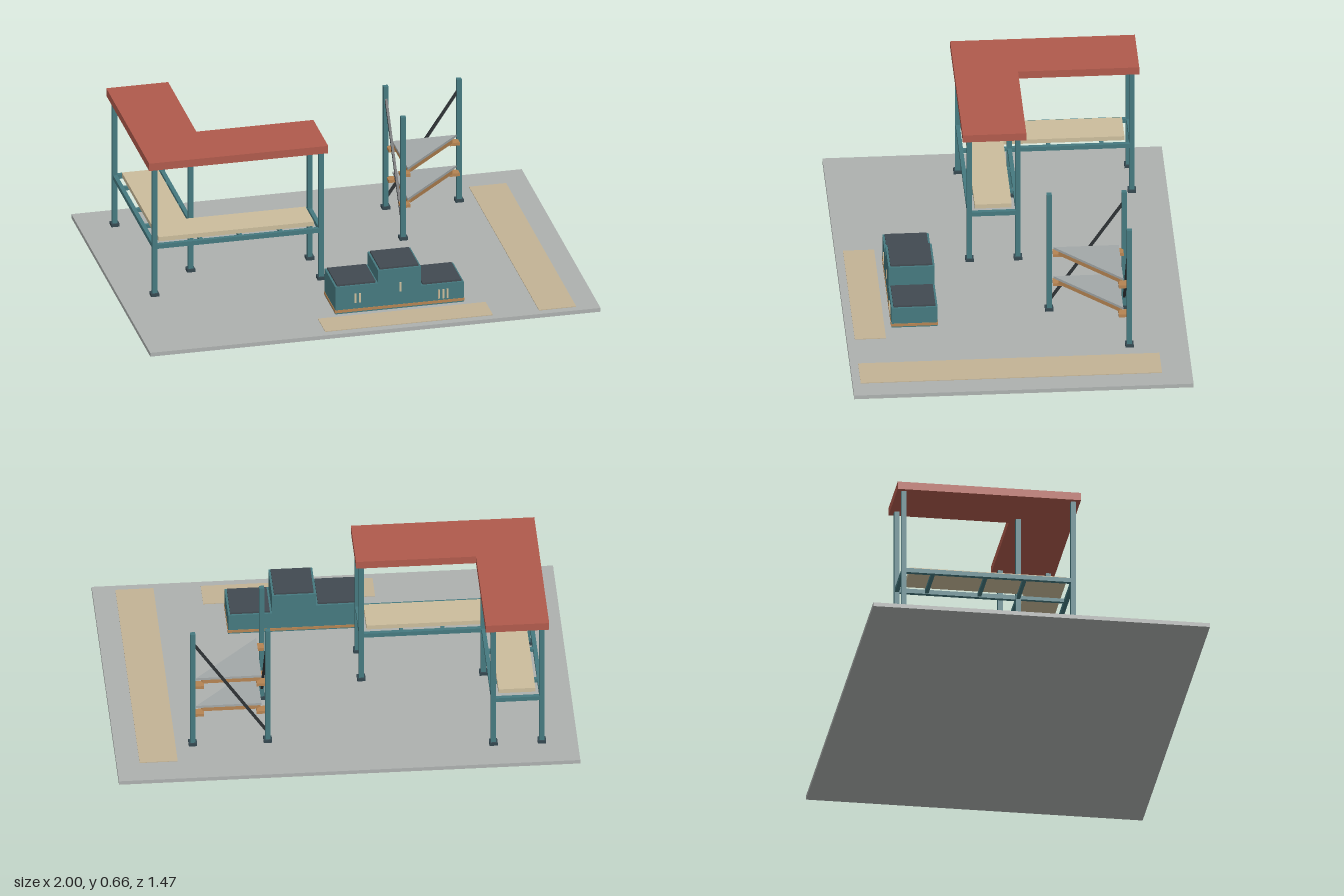
import * as THREE from 'three';

const mat = (name, color) => Object.assign(new THREE.MeshStandardMaterial({ color }), { name });
const M = {
  concrete: mat('concrete grey', 0xadb1af),
  path: mat('sand path', 0xc3b395),
  teal: mat('teal steel', 0x45797f),
  roof: mat('brick red', 0xb05a4c),
  deck: mat('pale wood', 0xcbbd9c),
  dark: mat('dark slate', 0x414a51),
  base: mat('base plate slate', 0x34474f),
  wood: mat('orange wood', 0xb58452),
  shelf: mat('shelf grey', 0xa3a8a8),
  rod: mat('rod black', 0x2e3235),
};

// Box given by its limits on each axis
function box(parent, name, material, x0, x1, y0, y1, z0, z1) {
  const m = new THREE.Mesh(new THREE.BoxGeometry(x1 - x0, y1 - y0, z1 - z0), material);
  m.position.set((x0 + x1) / 2, (y0 + y1) / 2, (z0 + z1) / 2);
  m.name = name;
  parent.add(m);
  return m;
}

// Square bar from point a to point b
function bar(parent, name, material, a, b, w, h = w) {
  const A = new THREE.Vector3(...a), B = new THREE.Vector3(...b);
  const m = new THREE.Mesh(new THREE.BoxGeometry(w, h, A.distanceTo(B)), material);
  m.position.copy(A).add(B).multiplyScalar(0.5);
  m.lookAt(B);
  m.name = name;
  parent.add(m);
  return m;
}

// Flat slab from an outline of [x, z] points
function slab(parent, name, material, pts, y0, y1) {
  const shape = new THREE.Shape(pts.map(([x, z]) => new THREE.Vector2(x, -z)));
  const g = new THREE.ExtrudeGeometry(shape, { depth: y1 - y0, bevelEnabled: false });
  g.rotateX(-Math.PI / 2);
  const m = new THREE.Mesh(g, material);
  m.position.y = y0;
  m.name = name;
  parent.add(m);
  return m;
}

// L outline: outer limits plus the inner corner
const lShape = (x0, x1, z0, z1, xi, zi) =>
  [[x0, z1], [x1, z1], [x1, zi], [xi, zi], [xi, z0], [x0, z0]];

const FLOOR = 0.018;

function post(parent, x, z, top) {
  const w = 0.011, b = 0.018;
  box(parent, 'post', M.teal, x - w, x + w, FLOOR, top, z - w, z + w);
  box(parent, 'postBase', M.base, x - b, x + b, FLOOR, 0.032, z - b, z + b);
}

// L-shaped shelter with a counter below its roof
function shelter() {
  const g = new THREE.Group();
  g.name = 'shelter';
  slab(g, 'roof', M.roof, lShape(-0.875, -0.08, -0.61, 0.19, -0.6, -0.085), 0.625, 0.66);
  const corners = lShape(-0.845, -0.105, -0.58, 0.16, -0.635, -0.05);
  corners.forEach(([x, z], i) => {
    post(g, x, z, 0.625);
    const [x2, z2] = corners[(i + 1) % corners.length];
    bar(g, 'counterBeam', M.teal, [x, 0.251, z], [x2, 0.251, z2], 0.018, 0.02);
  });
  slab(g, 'counterTop', M.deck, lShape(-0.82, -0.13, -0.55, 0.135, -0.66, -0.025), 0.26, 0.28);
  // joists under the counter
  for (const z of [-0.45, -0.22, -0.05]) box(g, 'joist', M.teal, -0.845, -0.635, 0.244, 0.26, z - 0.008, z + 0.008);
  for (const x of [-0.635, -0.46, -0.28]) box(g, 'joist', M.teal, x - 0.008, x + 0.008, 0.244, 0.26, -0.05, 0.16);
  return g;
}

// Three-step podium with tally bars
function podium() {
  const g = new THREE.Group();
  g.name = 'podium';
  const steps = [
    { x: -0.13, top: 0.146, bars: [-0.042, -0.022], y: 0.065 },
    { x: 0.06, top: 0.206, bars: [0.158], y: 0.098 },
    { x: 0.25, top: 0.114, bars: [0.33, 0.349, 0.368], y: 0.045 },
  ];
  for (const s of steps) {
    const x1 = s.x + 0.19;
    box(g, 'podiumStep', M.teal, s.x, x1, FLOOR, s.top, 0.335, 0.535);
    box(g, 'stepMat', M.dark, s.x + 0.009, x1 - 0.009, s.top, s.top + 0.008, 0.344, 0.526);
    for (const x of s.bars)
      box(g, 'tallyBar', M.deck, x - 0.004, x + 0.004, s.y, s.y + 0.043, 0.534, 0.538);
  }
  box(g, 'podiumStripe', M.wood, -0.132, 0.442, 0.024, 0.037, 0.333, 0.537);
  return g;
}

// Corner frame with two triangular shelves and diagonal braces
function shelfTower() {
  const g = new THREE.Group();
  g.name = 'shelfTower';
  const X = 0.335, Z = -0.48, X2 = 0.66, Z2 = -0.155;
  for (const [x, z] of [[X, Z], [X2, Z], [X, Z2]]) post(g, x, z, 0.6);
  bar(g, 'backBrace', M.rod, [X, 0.065, Z], [X2, 0.55, Z], 0.011);
  bar(g, 'sideBrace', M.rod, [X, 0.55, Z], [X, 0.065, Z2], 0.011);
  const tri = [[0.36, -0.172], [0.643, -0.455], [0.36, -0.455]];
  const frame = [[0.372, -0.2], [0.615, -0.443], [0.372, -0.443]];
  for (const y of [0.2, 0.346]) {
    slab(g, 'shelfBoard', M.shelf, tri, y - 0.011, y);
    frame.forEach(([x, z], i) => {
      const [x2, z2] = frame[(i + 1) % 3];
      bar(g, 'shelfFrame', M.wood, [x, y - 0.021, z], [x2, y - 0.021, z2], 0.018, 0.02);
    });
    // brackets reaching from the posts under the shelf corners
    for (const [x, z] of [[0.36, -0.455], [0.632, -0.455], [0.35, -0.19]])
      box(g, 'shelfBracket', M.wood, x - 0.022, x + 0.022, y - 0.043, y - 0.029, z - 0.02, z + 0.02);
  }
  return g;
}

export function createModel() {
  const model = new THREE.Group();
  model.name = 'courtyard';
  box(model, 'ground', M.concrete, -1, 1, 0, FLOOR, -0.735, 0.735);
  box(model, 'sidePath', M.path, 0.735, 0.9, FLOOR, 0.021, -0.605, 0.7);
  box(model, 'frontPath', M.path, -0.215, 0.53, FLOOR, 0.021, 0.565, 0.7);
  model.add(shelter(), podium(), shelfTower());
  return model;
}
